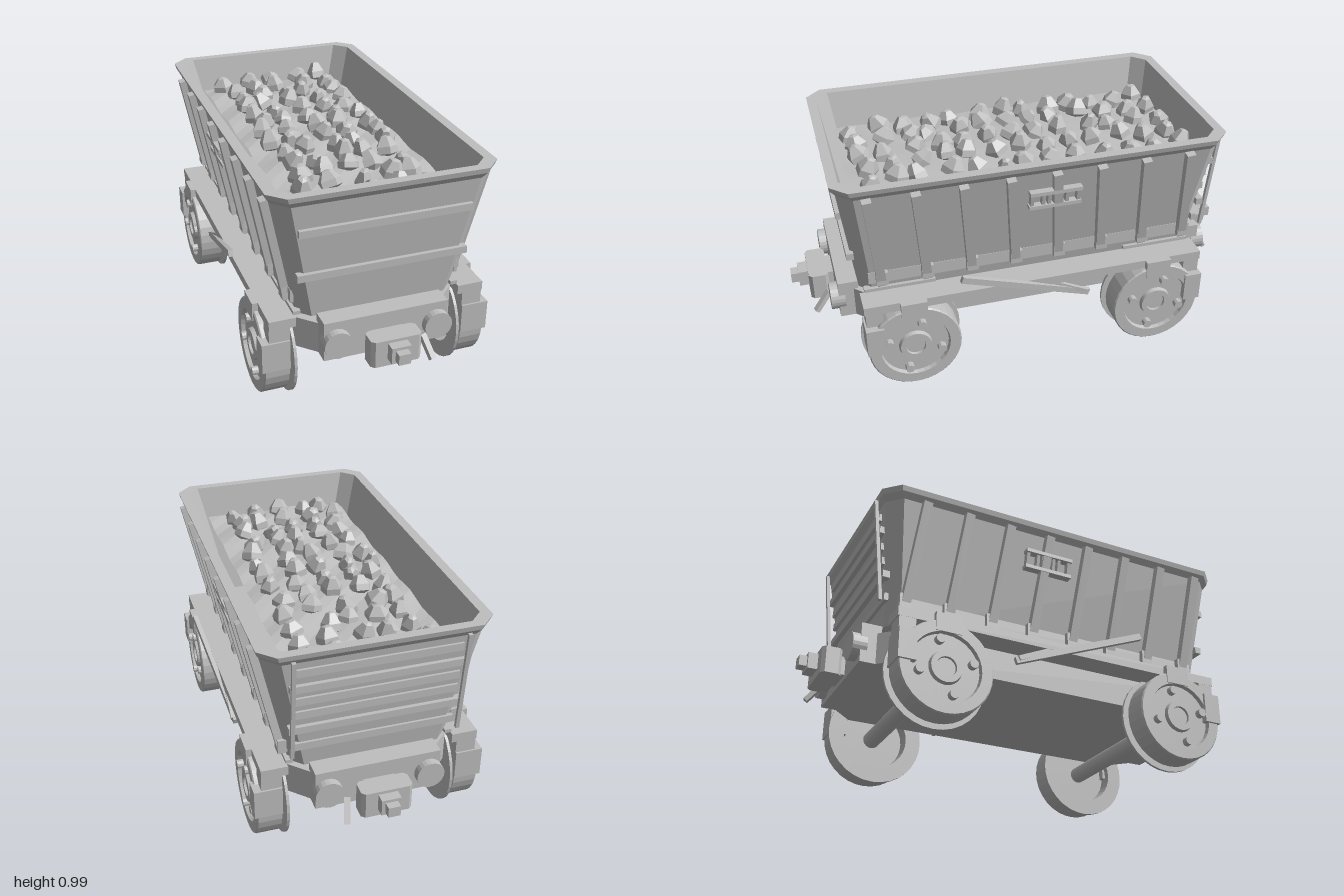
import * as THREE from 'three';

const steel = new THREE.MeshStandardMaterial({ color: 0xbfbfbf });
steel.name = 'grey';

export function createModel() {
  const model = new THREE.Group();
  const V = (x, y, z) => new THREE.Vector3(x, y, z);

  // adds a facetted mesh
  const add = (name, geo) => {
    const g = geo.index ? geo.toNonIndexed() : geo;
    g.computeVertexNormals();
    const m = new THREE.Mesh(g, steel);
    m.name = name;
    model.add(m);
    return m;
  };
  const box = (name, cx, cy, cz, w, h, d) =>
    add(name, new THREE.BoxGeometry(w, h, d).translate(cx, cy, cz));
  // straight bar from a to b: w across x, t across the other direction
  const bar = (name, a, b, w, t, up = V(0, 1, 0)) => {
    const m = add(name, new THREE.BoxGeometry(w, t, a.distanceTo(b)));
    m.up.copy(up);
    m.position.copy(a).add(b).multiplyScalar(0.5);
    m.lookAt(b);
    return m;
  };
  // loft through chamfered rectangles [halfX, y, halfZ, chamfer]
  const loft = (name, rings) => {
    const loops = rings.map(([x, y, z, c]) => [
      V(x, y, z - c), V(x, y, c - z), V(x - c, y, -z), V(c - x, y, -z),
      V(-x, y, c - z), V(-x, y, z - c), V(c - x, y, z), V(x - c, y, z)]);
    const p = [];
    const tri = (...vs) => vs.forEach(v => p.push(v.x, v.y, v.z));
    for (let i = 0; i + 1 < loops.length; i++) {
      const a = loops[i], b = loops[i + 1];
      for (let j = 0; j < 8; j++) {
        const k = (j + 1) % 8;
        tri(a[j], a[k], b[k]);
        tri(a[j], b[k], b[j]);
      }
    }
    const first = loops[0], last = loops[loops.length - 1];
    for (let j = 1; j < 7; j++) {
      tri(first[0], first[j + 1], first[j]);
      tri(last[0], last[j], last[j + 1]);
    }
    const g = new THREE.BufferGeometry();
    g.setAttribute('position', new THREE.Float32BufferAttribute(p, 3));
    return add(name, g);
  };

  // hopper with outer wall, rim and inner wall
  loft('hopper', [
    [0.33, 0.43, 0.735, 0.05], [0.438, 0.945, 0.797, 0.06], [0.456, 0.97, 0.815, 0.065],
    [0.462, 0.992, 0.82, 0.065], [0.42, 0.992, 0.78, 0.055], [0.3, 0.47, 0.7, 0.05]]);
  const wallX = y => 0.33 + 0.108 * (y - 0.43) / 0.515;
  const wallZ = y => 0.735 + 0.062 * (y - 0.43) / 0.515;

  // side ribs, foot rail and label frame
  for (const s of [1, -1]) {
    for (let i = 0; i < 8; i++) {
      const z = 0.69 - i * 0.19;
      bar('sideRib', V(s * (wallX(0.48) + 0.013), 0.48, z - 0.045),
        V(s * (wallX(0.945) + 0.013), 0.945, z), 0.036, 0.038, V(0, 0, 1));
      box('ribFoot', s * 0.36, 0.515, z - 0.045, 0.035, 0.06, 0.05);
    }
    box('footRail', s * 0.348, 0.512, 0, 0.014, 0.055, 1.4);
    for (const y of [0.785, 0.855])
      box('labelFrame', s * (wallX(y) + 0.016), y, -0.07, 0.034, 0.016, 0.22);
    for (const z of [-0.168, -0.12, -0.095, -0.07, -0.045, -0.02, 0.028])
      bar('labelBar', V(s * (wallX(0.785) + 0.012), 0.785, z),
        V(s * (wallX(0.855) + 0.012), 0.855, z), 0.026, 0.014, V(0, 0, 1));
  }

  // end straps, and planks with posts at the back
  for (const s of [1, -1])
    for (const y of [0.63, 0.83]) box('endStrap', 0, y, s * (wallZ(y) + 0.004), 0.7, 0.03, 0.03);
  for (const y of [0.54, 0.7, 0.765, 0.9])
    box('backPlank', 0, y, -wallZ(y) - 0.003, 0.66, 0.032, 0.018);
  for (const s of [1, -1])
    bar('backPost', V(s * 0.34, 0.51, -0.78), V(s * 0.34, 0.965, -0.825), 0.016, 0.014, V(0, 0, 1));

  // gently rolling load
  const bedY = (x, z) => 0.855 + 0.025 * Math.cos(x * 4.5) * Math.cos(z * 1.9)
    + 0.007 * Math.sin(x * 17 + z * 21);
  const bed = new THREE.PlaneGeometry(0.66, 1.45, 10, 22).rotateX(-Math.PI / 2);
  const bp = bed.attributes.position;
  for (let i = 0; i < bp.count; i++) bp.setY(i, bedY(bp.getX(i), bp.getZ(i)));
  add('loadBed', bed);
  let seed = 7;
  const rnd = () => (seed = (seed * 16807) % 2147483647) / 2147483647;
  // angular lumps tapering to a small tilted top
  for (let r = 0; r < 13; r++)
    for (const cx of [-0.225, -0.13, -0.01, 0.11, 0.225]) {
      const x = cx + (rnd() - 0.5) * 0.05, z = -0.68 + r * 0.111 + (rnd() - 0.5) * 0.04;
      const lump = new THREE.LatheGeometry([[0, -0.03], [0.045, -0.012], [0.045, 0.016],
        [0.02, 0.055], [0, 0.06]].map(([a, b]) => new THREE.Vector2(a, b)), 5);
      const rock = add('rock', lump);
      rock.position.set(x, bedY(x, z) + 0.012, z);
      rock.rotation.set((rnd() - 0.5) * 0.9, rnd() * 6, (rnd() - 0.5) * 0.9);
      rock.scale.set(0.85 + rnd() * 0.35, 0.8 + rnd() * 0.35, 0.85 + rnd() * 0.35);
    }

  // underframe
  loft('chassis', [[0.345, 0.27, 0.76, 0.09], [0.345, 0.405, 0.76, 0.09]]);
  box('bolster', 0, 0.42, 0, 0.5, 0.05, 1.3);
  for (const s of [1, -1]) {
    box('sideRail', s * 0.4, 0.42, 0, 0.11, 0.04, 1.48);
    // brake lever and its bracket
    bar('brakeLever', V(s * 0.44, 0.32, -0.23), V(s * 0.493, 0.535, 0.34), 0.02, 0.028);
    bar('leverBracket', V(s * 0.445, 0.4, -0.07), V(s * 0.45, 0.33, -0.22), 0.016, 0.02);
    for (const e of [1, -1]) {
      box('railBlock', s * 0.412, 0.39, e * 0.7, 0.085, 0.1, 0.07);
      box('wheelGuard', s * 0.428, 0.275, e * 0.705, 0.116, 0.13, 0.075);
      box('axleGuard', s * 0.425, 0.4, e * 0.537, 0.108, 0.08, 0.11);
      box('saddle', s * 0.335, 0.447, e * 0.57, 0.03, 0.016, 0.3);
    }
  }

  // flanged wheels (radius, distance from the centre line)
  const profile = [[0, 0.4], [0.14, 0.4], [0.145, 0.345], [0.214, 0.345], [0.214, 0.357],
    [0.155, 0.357], [0.155, 0.372], [0.197, 0.372], [0.197, 0.47], [0.192, 0.475],
    [0.148, 0.475], [0.143, 0.458], [0.07, 0.458], [0.065, 0.475], [0.042, 0.475],
    [0.04, 0.465], [0, 0.465]].map(([r, h]) => new THREE.Vector2(r, h));
  for (const e of [1, -1]) {
    const cz = e * 0.54, cy = 0.215;
    add('axle', new THREE.CylinderGeometry(0.038, 0.038, 0.82, 20).rotateZ(Math.PI / 2)
      .translate(0, cy, cz));
    for (const s of [1, -1]) {
      add('wheel', new THREE.LatheGeometry(profile, 32).rotateZ(-s * Math.PI / 2)
        .translate(0, cy, cz));
      for (let i = 0; i < 4; i++) {
        const a = 0.28 + i * Math.PI / 2;
        add('wheelBolt', new THREE.CylinderGeometry(0.019, 0.019, 0.03, 10)
          .rotateZ(Math.PI / 2)
          .translate(s * 0.47, cy + 0.115 * Math.sin(a), cz + 0.115 * Math.cos(a)));
      }
    }
  }

  // headstock, buffers and coupling at both ends
  for (const e of [1, -1]) {
    box('headstock', 0, 0.355, e * 0.778, 0.52, 0.17, 0.084);
    for (const s of [1, -1])
      add('buffer', new THREE.CylinderGeometry(0.058, 0.058, 0.06, 24).rotateX(Math.PI / 2)
        .translate(s * 0.21, 0.35, e * 0.823));
    box('couplingNeck', 0, 0.33, e * 0.82, 0.13, 0.08, 0.08);
    const head = new THREE.CylinderGeometry(1, 1, 0.115, 8).rotateY(Math.PI / 8);
    const hp = head.attributes.position;
    // chamfered coupling block
    for (let i = 0; i < hp.count; i++) {
      const x = hp.getX(i), z = hp.getZ(i);
      hp.setXYZ(i, Math.sign(x) * (Math.abs(x) > 0.6 ? 0.105 : Math.abs(x) > 0.01 ? 0.09 : 0),
        hp.getY(i) + 0.328,
        e * 0.885 + Math.sign(z) * (Math.abs(z) > 0.6 ? 0.042 : Math.abs(z) > 0.01 ? 0.028 : 0));
    }
    add('couplingBlock', head);
    box('couplingCollar', 0, 0.338, e * 0.945, 0.08, 0.07, 0.045);
    box('couplingPin', 0, 0.338, e * 0.98, 0.05, 0.045, 0.04);
    bar('couplingLever', V(0.14, 0.325, e * 0.85), V(0.16, 0.245, e * 0.915), 0.025, 0.02);
  }
  return model;
}
